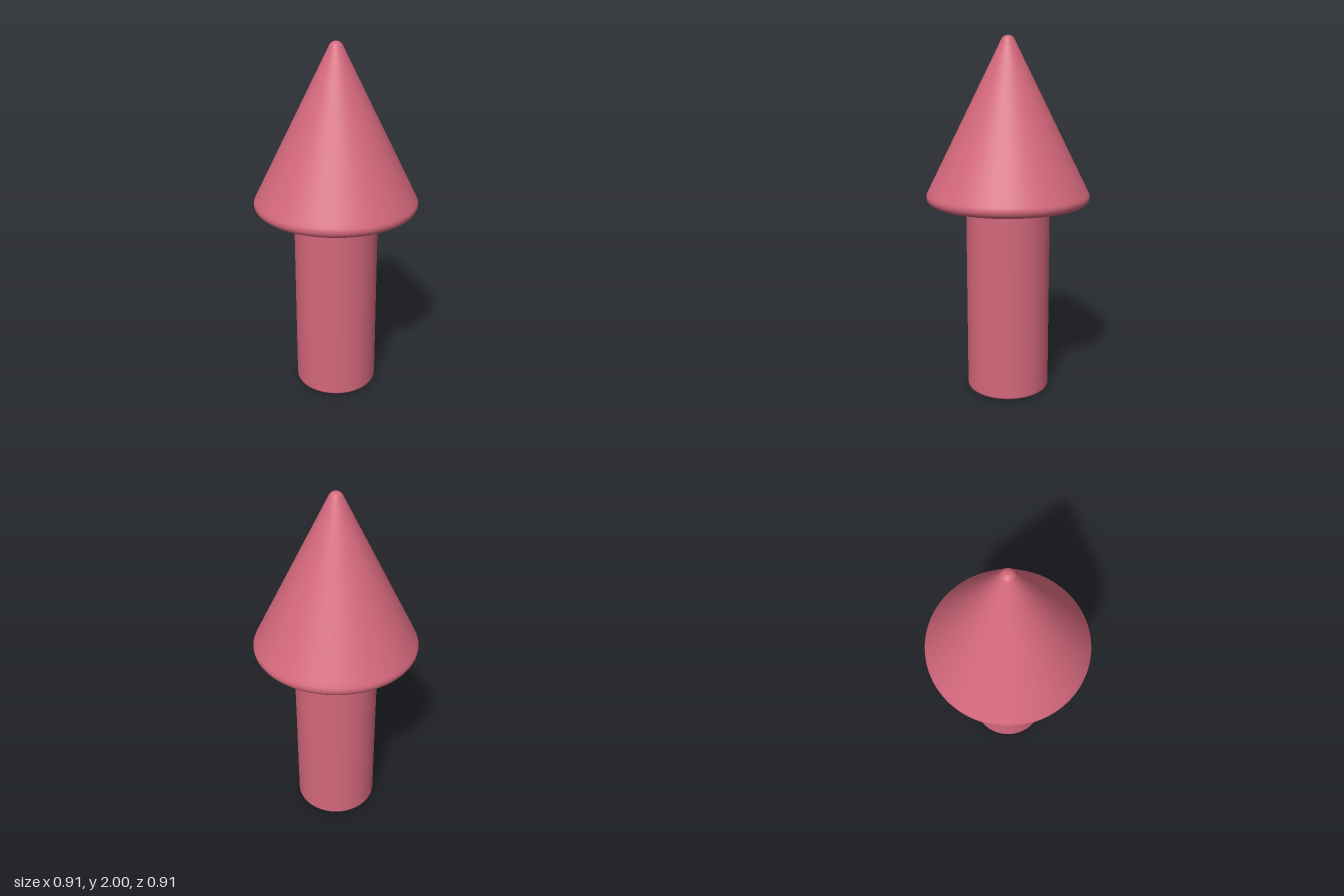
import * as THREE from 'three';

const material = new THREE.MeshStandardMaterial({ color: 0xd4687c });

// Points of a rounded corner; angles in radians, 0 points outward, PI/2 up.
function arc(cx, cy, r, from, to, steps = 12) {
  return Array.from({ length: steps + 1 }, (_, i) => {
    const a = from + ((to - from) * i) / steps;
    return new THREE.Vector2(Math.max(0, cx + r * Math.cos(a)), cy + r * Math.sin(a));
  });
}

// Joins profile pieces; support points next to each joint keep straight runs crisp.
function revolve(name, pieces) {
  const points = [];
  for (const piece of pieces) {
    const last = points[points.length - 1];
    if (last) {
      const first = piece[0];
      points.push(last.clone().lerp(first, 0.02), last.clone().lerp(first, 0.98));
    }
    points.push(...piece);
  }
  const mesh = new THREE.Mesh(new THREE.LatheGeometry(points, 96), material);
  mesh.name = name;
  return mesh;
}

export function createModel() {
  const model = new THREE.Group();
  model.name = 'arrow';
  const down = -Math.PI / 2;

  // Cylindrical shaft with a small rounded bottom edge, ending inside the head
  model.add(revolve('shaft', [
    [new THREE.Vector2(0, 0)],
    arc(0.22, 0.015, 0.015, down, 0, 8),
    [new THREE.Vector2(0.235, 1.12)],
  ]));

  // Cone head with a rounded rim and tip; the side rises 2 for every 1 inward
  const slope = Math.atan2(1, 2);
  model.add(revolve('head', [
    [new THREE.Vector2(0, 1.09)],
    arc(0.415, 1.13, 0.04, down, slope),
    arc(0, 1.96, 0.04, slope, Math.PI / 2),
  ]));

  return model;
}
